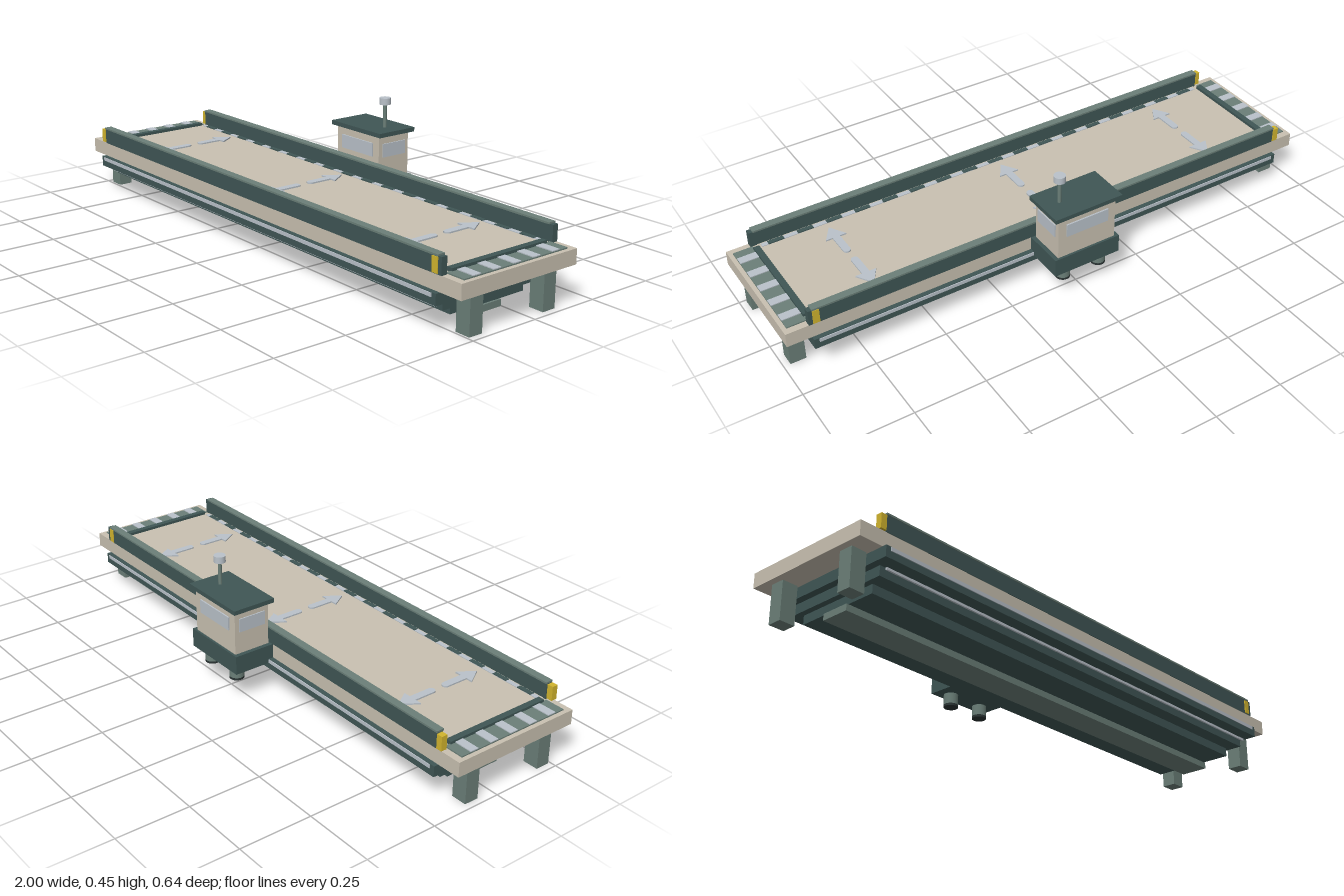
import * as THREE from 'three';

const mat = (name, color) => {
  const m = new THREE.MeshStandardMaterial({ color });
  m.name = name;
  return m;
};

export function createModel() {
  const beige = mat('beige', 0xc9c1b1);
  const dark = mat('dark green', 0x3f5655);
  const mid = mat('grey green', 0x6b7f78);
  const light = mat('pale grey', 0xbac2ca);
  const yellow = mat('yellow', 0xd2b52e);
  const black = mat('charcoal', 0x2b3434);

  const root = new THREE.Group();
  root.name = 'floatingDeck';
  const CZ = 0.067; // centre line of the deck

  const add = (name, geo, material, x = 0, y = 0, z = 0) => {
    const m = new THREE.Mesh(geo, material);
    m.name = name;
    m.position.set(x, y, z);
    root.add(m);
    return m;
  };
  // Box given by its limits on each axis
  const box = (name, material, x0, x1, y0, y1, z0, z1) =>
    add(name, new THREE.BoxGeometry(x1 - x0, y1 - y0, z1 - z0), material,
      (x0 + x1) / 2, (y0 + y1) / 2, (z0 + z1) / 2);
  const cyl = (name, material, r, y0, y1, x, z) =>
    add(name, new THREE.CylinderGeometry(r, r, y1 - y0, 24), material, x, (y0 + y1) / 2, z);

  // Deck slab and stepped underside
  box('deck', beige, -1, 1, 0.13, 0.18, -0.167, 0.301);
  box('deckPlate', beige, -0.9, 0.9, 0.18, 0.183, -0.145, 0.28);
  [[0.917, 0.093, 0.13, 0.25], [0.893, 0.06, 0.093, 0.2], [0.873, 0.03, 0.06, 0.15]].forEach(
    ([x, y0, y1, w], i) => box('hullStep' + (i + 1), dark, -x, x, y0, y1, CZ - w, CZ + w));
  box('keel', mid, -0.88, 0.88, 0.008, 0.03, CZ - 0.05, CZ + 0.05);

  for (const s of [-1, 1]) {
    // Long pale strips along the hull
    const zl = CZ + s * 0.218;
    box('sideLightBar', light, -0.885, 0.885, 0.075, 0.083, zl - 0.003, zl + 0.003);
    const ze = CZ + s * 0.251;
    box('rubbingStrip', light, -0.9, 0.9, 0.116, 0.128, ze - 0.002, ze + 0.002);

    // Guard rail with cap, end posts and yellow markers
    const zr = CZ + s * 0.225;
    box('guardRail', dark, -0.909, 0.909, 0.18, 0.235, zr - 0.0105, zr + 0.0105);
    box('railCap', mid, -0.909, 0.909, 0.234, 0.24, zr - 0.0135, zr + 0.0135);
    box('railEndPost', dark, 0.909, 0.922, 0.18, 0.235, zr - 0.0105, zr + 0.0105);
    const zo = zr + s * 0.003;
    box('railMarker', yellow, -0.93, -0.909, 0.183, 0.232, zo - 0.0105, zo + 0.0105);
    box('railMarker', yellow, 0.885, 0.908, 0.183, 0.232, zo - 0.0105, zo + 0.0105);

    // Dashed edge line
    const zd = CZ + s * 0.199;
    box('edgeLine', light, -0.89, 0.89, 0.183, 0.185, zd - 0.008, zd + 0.008);
    for (let i = -8; i <= 8; i++) {
      const x = i * 0.105;
      box('edgeDash', dark, x - 0.028, x + 0.028, 0.183, 0.187, zd - 0.008, zd + 0.008);
    }

    // Striped landing at each end, with a threshold bar
    const span = (a, b) => (s > 0 ? [a, b] : [-b, -a]);
    box('landing', mid, ...span(0.915, 0.985), 0.18, 0.184, -0.143, 0.277);
    for (let i = -2; i <= 2; i++) {
      const z = CZ + i * 0.08;
      box('landingStripe', light, ...span(0.92, 0.985), 0.184, 0.187, z - 0.015, z + 0.015);
    }
    box('threshold', dark, ...span(0.9, 0.921), 0.18, 0.193, -0.125, 0.26);

    // Legs
    for (const t of [-1, 1]) {
      const z = CZ + t * 0.15;
      box('leg', mid, ...span(0.923, 0.977), 0, 0.13, z - 0.025, z + 0.025);
    }
  }

  // Direction arrows painted on the deck
  const shape = new THREE.Shape();
  shape.moveTo(0, 0.165);
  shape.lineTo(-0.037, 0.107);
  shape.lineTo(-0.013, 0.107);
  shape.lineTo(-0.013, 0.03);
  shape.absarc(0, 0.03, 0.013, Math.PI, Math.PI * 2, false);
  shape.lineTo(0.013, 0.107);
  shape.lineTo(0.037, 0.107);
  const arrowGeo = new THREE.ExtrudeGeometry(shape, { depth: 0.005, bevelEnabled: false, curveSegments: 8 });
  arrowGeo.rotateX(-Math.PI / 2);
  for (const x of [-0.667, 0, 0.667]) {
    add('backArrow', arrowGeo, light, x, 0.183, CZ - 0.003);
    add('frontArrow', arrowGeo, light, x, 0.183, CZ - 0.003).rotation.y = Math.PI;
  }

  // Control cabin on the back edge
  box('cabinBase', dark, -0.125, 0.125, 0.115, 0.18, -0.315, -0.167);
  box('cabinWalls', beige, -0.11, 0.11, 0.18, 0.333, -0.307, -0.175);
  box('cabinRoof', dark, -0.128, 0.128, 0.333, 0.348, -0.32, -0.163);
  for (const s of [-1, 1]) {
    const zw = -0.241 + s * 0.068;
    box('longWindow', light, -0.08, 0.08, 0.258, 0.305, zw - 0.003, zw + 0.003);
    box('sideWindow', light, s * 0.111 - 0.003, s * 0.111 + 0.003, 0.258, 0.305, -0.291, -0.191);
    cyl('thruster', mid, 0.025, 0.077, 0.115, s * 0.07, -0.275);
    cyl('thrusterFoot', black, 0.025, 0.069, 0.077, s * 0.07, -0.275);
  }
  cyl('mast', mid, 0.0065, 0.348, 0.43, 0.064, -0.241);
  cyl('beacon', light, 0.02, 0.429, 0.452, 0.064, -0.241);

  return root;
}
